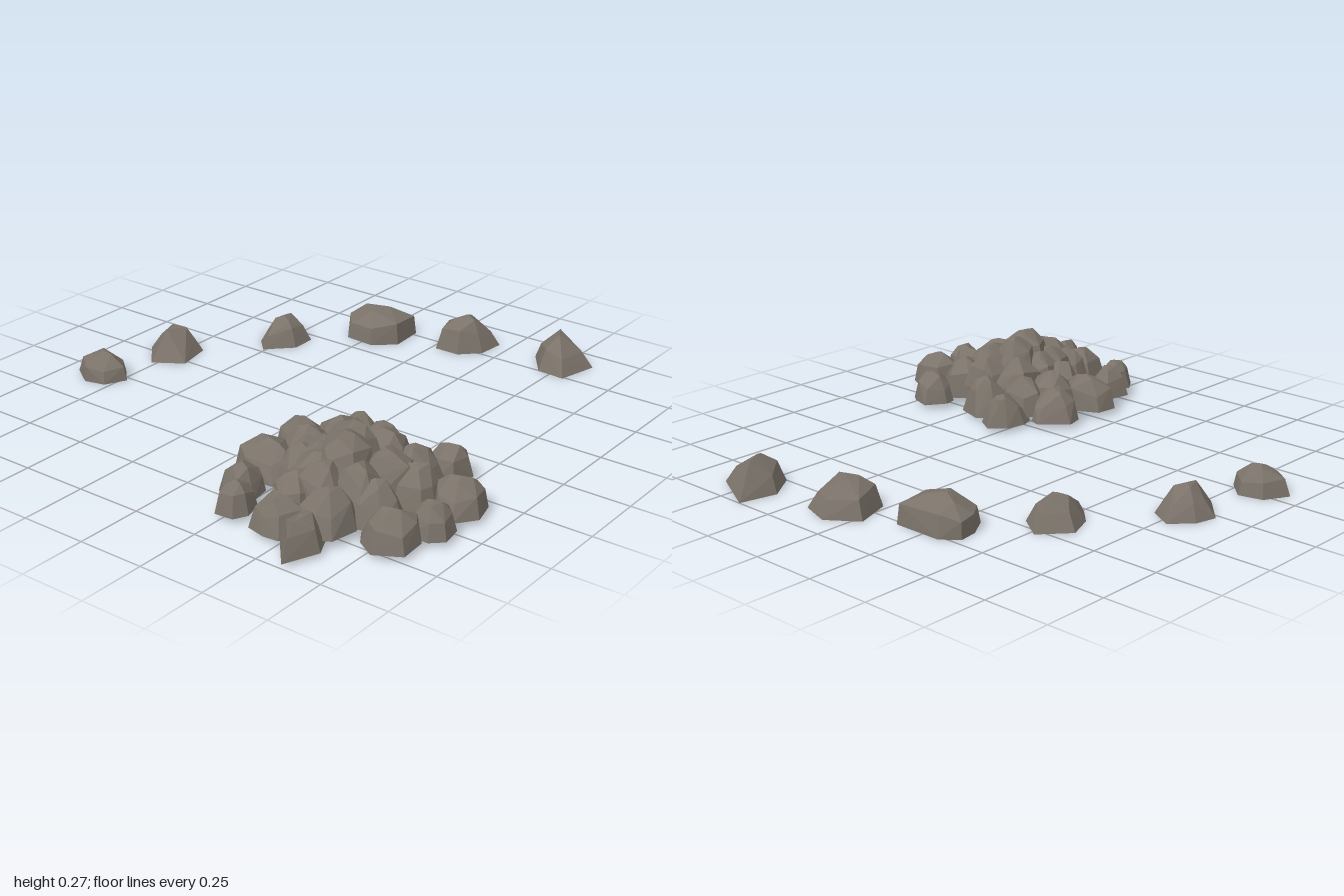
import * as THREE from 'three';
import { ConvexGeometry } from 'three/addons/geometries/ConvexGeometry.js';

// small seeded generator, values 0..1
function seeded(seed) {
  let s = seed * 7919 + 17;
  const next = () => {
    s = (s * 16807) % 2147483647;
    return s / 2147483647;
  };
  for (let i = 0; i < 4; i++) next();
  return next;
}

// irregular seven-sided footprint, slightly longer in one direction
function footprint(x, z, radius, seed) {
  const rand = seeded(seed);
  const turn = rand() * Math.PI * 2;
  return Array.from({ length: 7 }, (_, i) => {
    const a = turn + (i + 0.6 * (rand() - 0.5)) / 7 * Math.PI * 2;
    const r = radius * (0.92 + 0.2 * rand());
    return [x + Math.cos(a) * r, z + Math.sin(a) * r];
  });
}

// faceted shell around the points, left open underneath
function openShell(points, floor) {
  const hull = new ConvexGeometry(points).getAttribute('position');
  const kept = [];
  for (let i = 0; i < hull.count; i += 3) {
    const corners = [i, i + 1, i + 2];
    if (corners.every((k) => hull.getY(k) < floor + 0.001)) continue;
    corners.forEach((k) => kept.push(hull.getX(k), hull.getY(k), hull.getZ(k)));
  }
  const shell = new THREE.BufferGeometry();
  shell.setAttribute('position', new THREE.Float32BufferAttribute(kept, 3));
  shell.computeVertexNormals();
  return shell;
}

export function createModel() {
  const model = new THREE.Group();
  const stone = new THREE.MeshStandardMaterial({ color: 0x7b736a, flatShading: true, side: THREE.DoubleSide });
  stone.name = 'grey brown stone';
  let count = 0;

  function addGroup(name) {
    const group = new THREE.Group();
    group.name = name;
    model.add(group);
    return group;
  }

  // faceted stone: footprint, irregular shoulder ring and small crown
  function addRock(parent, name, outline, base, height, shoulder) {
    const rand = seeded(++count);
    const n = outline.length;
    const cx = outline.reduce((s, p) => s + p[0], 0) / n;
    const cz = outline.reduce((s, p) => s + p[1], 0) / n;
    const points = [new THREE.Vector3(cx, base + height, cz)];
    const add = ([x, z], k, y) => points.push(
      new THREE.Vector3(cx + (x - cx) * k, base + y * height, cz + (z - cz) * k));
    outline.forEach((p, i) => {
      add(p, 1, 0);
      add(p, shoulder + 0.16 * (rand() - 0.5), 0.42 + 0.28 * rand());
      if (i % 2) add(p, 0.3 + 0.18 * rand(), 0.86 + 0.12 * rand());
    });
    const mesh = new THREE.Mesh(openShell(points, base), stone);
    mesh.name = name;
    parent.add(mesh);
  }

  // arc of single stones, each with its own footprint
  const arc = addGroup('stoneArc');
  const arcStone = (height, shoulder, ...outline) =>
    addRock(arc, 'arcStone', outline, 0, height, shoulder);
  arcStone(0.10, 0.88, [-.31, -.94], [-.22, -.89], [-.20, -.80], [-.27, -.73], [-.35, -.77], [-.37, -.85]);
  arcStone(0.11, 0.64, [.02, -.87], [.10, -.85], [.17, -.78], [.12, -.69], [-.02, -.66], [-.09, -.77]);
  arcStone(0.105, 0.72, [.43, -.61], [.53, -.52], [.46, -.42], [.36, -.42], [.27, -.51], [.33, -.57]);
  arcStone(0.12, 0.9, [.65, -.37], [.72, -.38], [.77, -.32], [.77, -.13], [.63, -.12], [.56, -.2], [.57, -.32]);
  arcStone(0.13, 0.75, [.83, -.03], [.91, .08], [.87, .2], [.76, .19], [.69, .12], [.69, .02]);
  arcStone(0.12, 0.7, [.86, .37], [1, .4], [.9, .6], [.74, .56], [.75, .45]);

  // rubble heap, laid in layers of stones given as x, z, radius
  const heap = addGroup('rubbleHeap');
  const layer = (name, base, height, stones) => stones.forEach(([x, z, r]) =>
    addRock(heap, name, footprint(x, z, r, count + 50), base, height * (0.6 + r * 4.2), 0.78));

  layer('outerStone', 0.02, 0.12, [
    [-.72, .21, .08], [-.82, .265, .068], [-.55, .185, .108], [-.34, .17, .1], [-.82, .45, .095],
    [-.20, .67, .082], [-.69, .79, .098], [-.56, .85, .08], [-.39, .835, .095],
  ]);
  layer('innerStone', 0.03, 0.14, [
    [-.43, .26, .1], [-.33, .63, .1], [-.44, .70, .095], [-.61, .67, .1],
    [-.74, .58, .1], [-.71, .44, .095], [-.55, .33, .095], [-.30, .30, .095],
  ]);
  layer('upperStone', 0.08, 0.122, [
    [-.67, .51, .1], [-.60, .60, .1], [-.47, .61, .105], [-.36, .52, .1],
    [-.39, .40, .105], [-.51, .39, .1], [-.62, .43, .085],
  ]);
  layer('summitStone', 0.135, 0.125, [[-.55, .50, .105], [-.46, .47, .095]]);

  // stones with a pointed end sticking out of the heap
  const pointedStone = (x, z, radius, tip, height) => {
    const outline = footprint(x, z, radius, count + 50);
    outline.push(tip);
    addRock(heap, 'pointedStone', outline, 0.015, height, 0.68);
  };
  pointedStone(-.86, .57, .08, [-1, .6], 0.115);
  pointedStone(-.20, .29, .088, [-.09, .28], 0.115);
  pointedStone(-.26, .43, .095, [-.15, .4], 0.145);

  return model;
}
